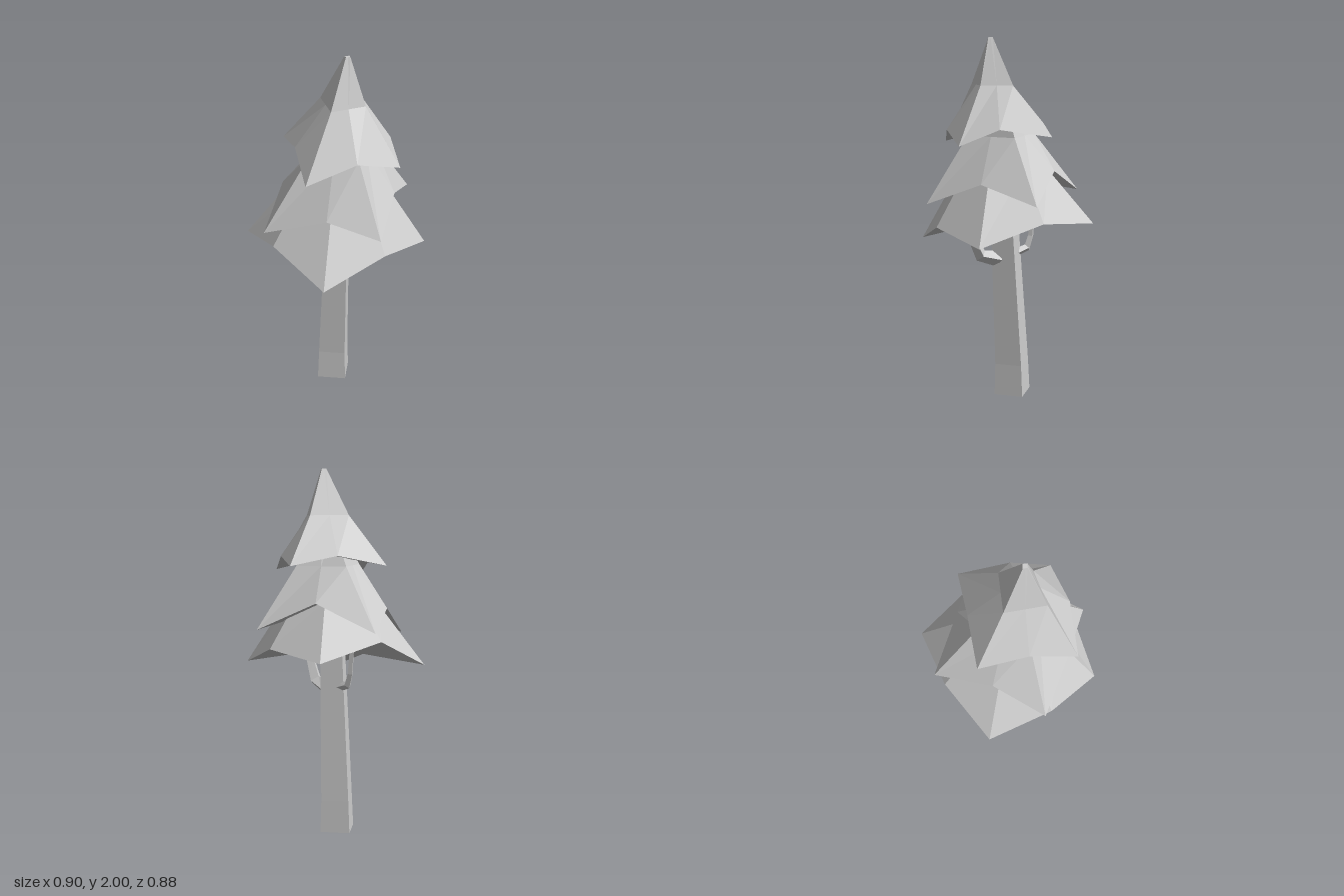
import * as THREE from 'three';

const bark = new THREE.MeshStandardMaterial({ color: 0xcccccc, flatShading: true });
bark.name = 'pale grey';

// Joins equal-sized rings (counter-clockwise about the direction of travel) and caps both ends
function loft(name, rings, startCentre) {
  const pos = [];
  const tri = (a, b, c) => pos.push(...a, ...b, ...c);
  const centre = (ring) => [0, 1, 2].map((k) => ring.reduce((s, p) => s + p[k], 0) / ring.length);
  const n = rings[0].length;
  const first = rings[0], last = rings[rings.length - 1];
  const c0 = startCentre || centre(first), c1 = centre(last);
  for (let i = 0; i < n; i++) {
    const j = (i + 1) % n;
    for (let r = 0; r < rings.length - 1; r++) {
      const lo = rings[r], hi = rings[r + 1];
      tri(lo[i], lo[j], hi[j]);
      tri(lo[i], hi[j], hi[i]);
    }
    tri(c0, first[j], first[i]);
    tri(c1, last[i], last[j]);
  }
  const geo = new THREE.BufferGeometry();
  geo.setAttribute('position', new THREE.Float32BufferAttribute(pos, 3));
  geo.computeVertexNormals();
  const mesh = new THREE.Mesh(geo, bark);
  mesh.name = name;
  return mesh;
}

// Four [x, z] corners at height y, with a point halfway along each side
function square(y, corners) {
  return corners.flatMap(([x, z], i) => {
    const [x2, z2] = corners[(i + 1) % 4];
    return [[x, y, z], [(x + x2) / 2, y, (z + z2) / 2]];
  });
}

// Four-sided stem through [x, y, z, radius] points
function stem(name, path, upright) {
  const pts = path.map((p) => new THREE.Vector3(p[0], p[1], p[2]));
  const u = new THREE.Vector3(1, 0, 0);
  const rings = pts.map((p, i) => {
    const t = upright ? new THREE.Vector3(0, 1, 0)
      : pts[Math.min(i + 1, pts.length - 1)].clone().sub(pts[Math.max(i - 1, 0)]).normalize();
    const v = t.cross(u);
    return [[u, 1], [v, 1], [u, -1], [v, -1]].map(([d, s]) =>
      p.clone().addScaledVector(d, s * path[i][3]).toArray());
  });
  return loft(name, rings);
}

export function createModel() {
  const tree = new THREE.Group();
  tree.name = 'pineTree';

  // Trunk, leaning slightly forward
  tree.add(stem('trunk', [
    [0, 0, -0.05, 0.115], [0, 0.18, -0.047, 0.107], [-0.005, 1.12, 0.003, 0.083],
  ], true));

  // Bent branches reaching up into the foliage
  tree.add(stem('frontBranch', [
    [0, 0.79, 0.04, 0.045], [0, 0.82, 0.15, 0.036], [0, 0.95, 0.21, 0.027], [0, 1.06, 0.225, 0.02],
  ]));
  tree.add(stem('backBranch', [
    [0, 0.81, -0.06, 0.025], [0, 0.835, -0.145, 0.022], [0, 0.9, -0.168, 0.017], [0, 1.06, -0.185, 0.014],
  ]));

  // Lowest tier: drooping corners and raised side middles
  tree.add(loft('lowerFoliage', [
    [[0.41, 1.05, -0.005], [0.34, 1.01, -0.36], [-0.01, 1.1, -0.42], [-0.36, 0.94, -0.365],
      [-0.43, 1.02, -0.01], [-0.36, 0.875, 0.335], [-0.01, 1.0, 0.41], [0.34, 0.94, 0.335]],
    [[0.22, 1.32, 0], [0.17, 1.3, -0.17], [0, 1.32, -0.22], [-0.18, 1.28, -0.17],
      [-0.22, 1.32, 0], [-0.18, 1.28, 0.18], [0, 1.32, 0.22], [0.165, 1.3, 0.18]],
  ], [0, 1.02, 0]));

  // Middle tier
  tree.add(loft('middleFoliage', [
    [[0.45, 1.15, 0.06], [0.235, 1.295, -0.175], [0.05, 1.15, -0.445], [-0.2, 1.25, -0.235],
      [-0.45, 1.085, -0.065], [-0.25, 1.2, 0.22], [-0.068, 1.12, 0.44], [0.19, 1.245, 0.245]],
    square(1.48, [[0.2, 0.05], [0.03, -0.17], [-0.19, 0], [-0.03, 0.21]]),
    square(1.68, [[0.1, 0.06], [0, -0.02], [-0.1, 0.05], [-0.01, 0.13]]),
  ], [0, 1.25, 0.01]));

  // Top tier, narrowing to a small blunt tip
  tree.add(loft('upperFoliage', [
    [[0.34, 1.49, -0.095], [0.1, 1.54, -0.187], [-0.15, 1.485, -0.29], [-0.25, 1.53, -0.045],
      [-0.355, 1.42, 0.185], [-0.11, 1.51, 0.295], [0.135, 1.445, 0.345], [0.23, 1.53, 0.155]],
    square(1.75, [[0.13, 0.02], [-0.06, -0.075], [-0.145, 0.125], [0.045, 0.17]]),
    square(2, [[0.01, 0.077], [-0.012, 0.065], [-0.02, 0.087], [0, 0.098]]),
  ], [-0.01, 1.53, 0.03]));

  return tree;
}
